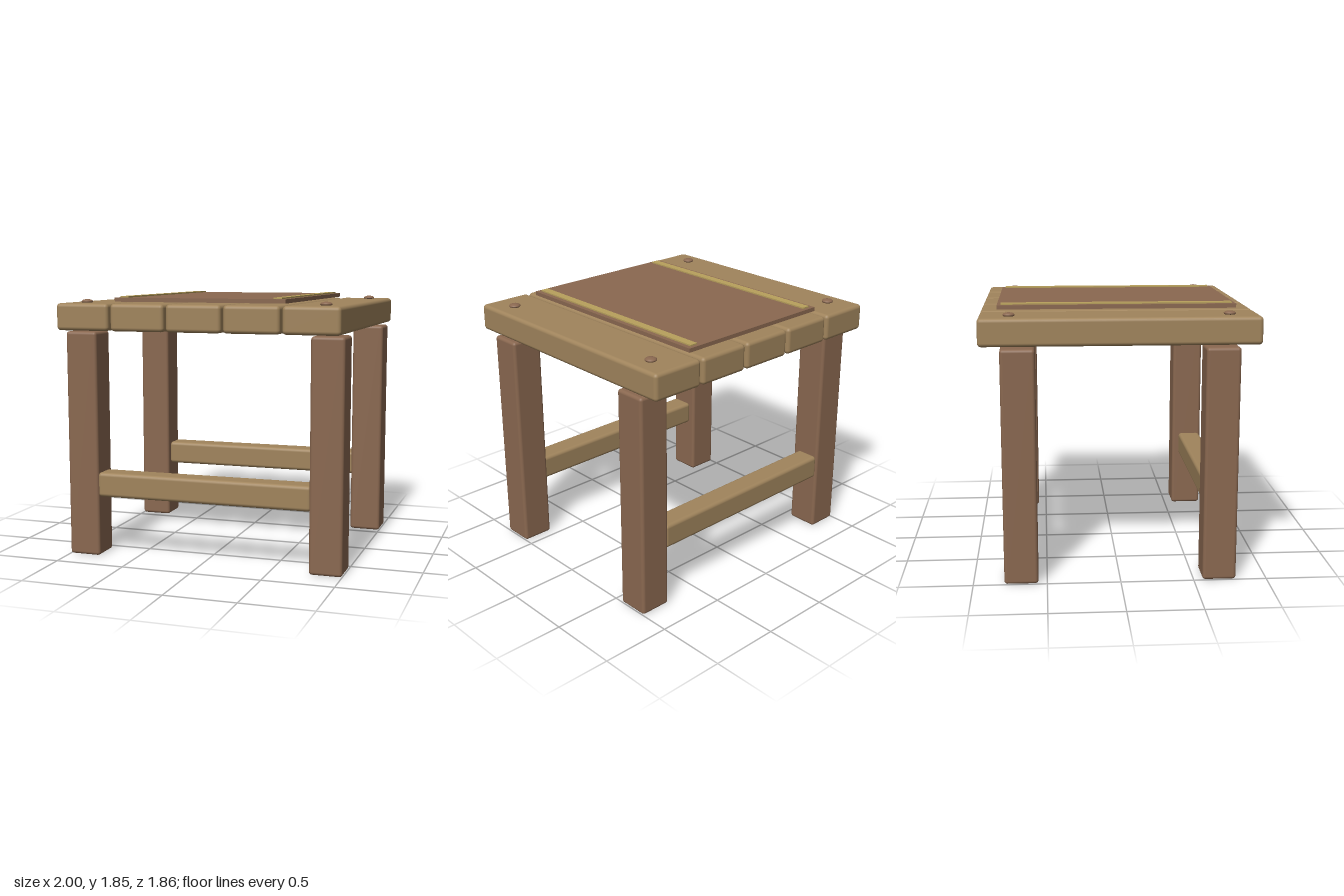
import * as THREE from 'three';
import { RoundedBoxGeometry } from 'three/addons/geometries/RoundedBoxGeometry.js';

const material = (name, color) => {
  const m = new THREE.MeshStandardMaterial({ color });
  m.name = name;
  return m;
};

export function createModel() {
  const model = new THREE.Group();
  model.name = 'stool';

  const lightWood = material('light wood', 0xa0845c);
  const darkWood = material('dark wood', 0x8a6850);
  const brass = material('pale gold', 0xb8a05c);

  const add = (name, geometry, mat, x, y, z) => {
    const mesh = new THREE.Mesh(geometry, mat);
    mesh.name = name;
    mesh.position.set(x, y, z);
    model.add(mesh);
    return mesh;
  };

  // Seat: five planks running front to back with narrow gaps
  const plank = new RoundedBoxGeometry(0.387, 0.186, 1.86, 3, 0.026);
  for (let i = -2; i <= 2; i++) add('seatPlank', plank, lightWood, i * 0.4033, 1.718, 0);

  // Four legs, and a domed peg above each one
  const leg = new RoundedBoxGeometry(0.23, 1.605, 0.23, 3, 0.022);
  const peg = new THREE.SphereGeometry(0.04, 24, 12);
  peg.scale(1, 0.4, 1);
  for (const x of [-1, 1]) {
    for (const z of [-1, 1]) {
      add('leg', leg, darkWood, x * 0.885, 0.8075, z * 0.675);
      add('peg', peg, darkWood, x * 0.858, 1.819, z * 0.727);
    }
  }

  // Front and back stretchers between the legs
  const stretcher = new RoundedBoxGeometry(1.56, 0.175, 0.17, 3, 0.026);
  for (const z of [-1, 1]) add('stretcher', stretcher, lightWood, 0, 0.522, z * 0.695);

  // Thin panel lying on the seat, with a stripe along each side
  add('panel', new THREE.BoxGeometry(1.215, 0.028, 1.63), darkWood, 0, 1.836, 0);
  const stripe = new THREE.BoxGeometry(0.058, 0.0095, 1.58);
  for (const x of [-1, 1]) add('stripe', stripe, brass, x * 0.546, 1.8547, 0);

  return model;
}
